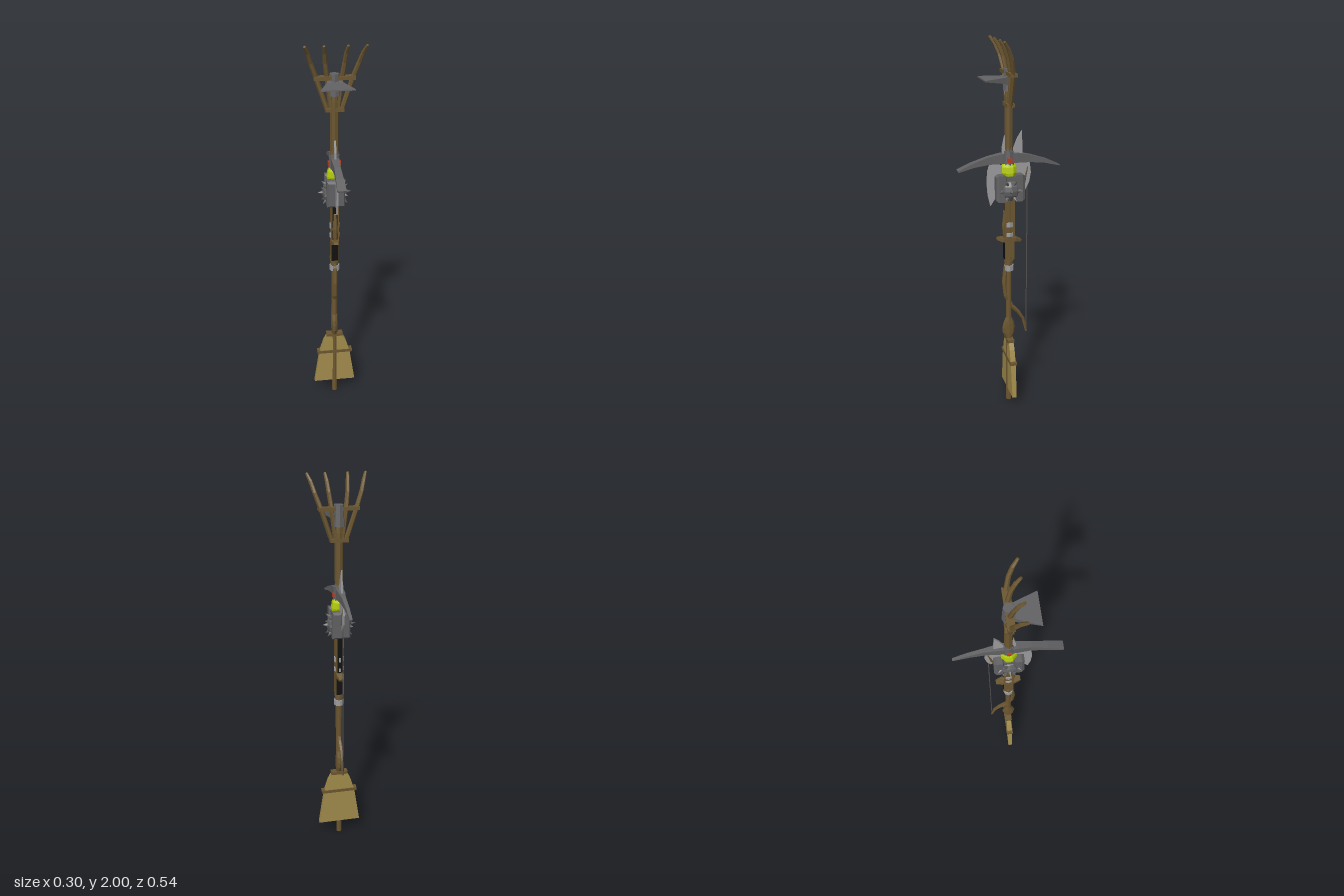
import * as THREE from 'three';

const mat = (name, color) => {
  const m = new THREE.MeshStandardMaterial({ color });
  m.name = name;
  return m;
};
const V = (x, y, z) => new THREE.Vector3(x, y, z);

export function createModel() {
  const root = new THREE.Group();
  root.name = 'toolStaff';
  const wood = mat('wood', 0x6b5630), straw = mat('straw', 0xa28c4c), iron = mat('iron', 0x626264);
  const steel = mat('steel', 0x9c9c9e), black = mat('black', 0x101010), lime = mat('lime', 0xb4cc08);
  const red = mat('red', 0xc03a20), cord = mat('cord', 0x55534e);

  const add = (name, geo, material, x = 0, y = 0, z = 0) => {
    const g = geo.index ? geo.toNonIndexed() : geo;
    g.computeVertexNormals(); // faceted look
    const m = new THREE.Mesh(g, material);
    m.name = name;
    m.position.set(x, y, z);
    root.add(m);
    return m;
  };
  const box = (name, w, h, d, material, x, y, z) =>
    add(name, new THREE.BoxGeometry(w, h, d), material, x, y, z);
  const rod = (name, rTop, rBottom, y0, y1, material, n = 8, z = 0) =>
    add(name, new THREE.CylinderGeometry(rTop, rBottom, y1 - y0, n), material, 0, (y0 + y1) / 2, z);

  // Joins cross-section rings and caps both ends, facing outward
  function loft(rings) {
    const n = rings[0].length, tris = [];
    for (let i = 0; i + 1 < rings.length; i++)
      for (let j = 0; j < n; j++) {
        const k = (j + 1) % n, a = rings[i], b = rings[i + 1];
        tris.push([a[j], a[k], b[k]], [a[j], b[k], b[j]]);
      }
    const last = rings[rings.length - 1];
    for (let j = 1; j + 1 < n; j++)
      tris.push([rings[0][0], rings[0][j + 1], rings[0][j]], [last[0], last[j], last[j + 1]]);
    let volume = 0;
    for (const [a, b, c] of tris) volume += a.dot(b.clone().cross(c));
    const pos = [];
    for (const t of tris)
      for (const p of volume < 0 ? [t[0], t[2], t[1]] : t) pos.push(p.x, p.y, p.z);
    const g = new THREE.BufferGeometry();
    g.setAttribute('position', new THREE.Float32BufferAttribute(pos, 3));
    return g;
  }

  // Sweeps an n-sided section along [x, y, z, sideRadius, otherRadius] stations
  function sweep(stations, n = 6, phase = 0) {
    const p = stations.map((s) => V(s[0], s[1], s[2]));
    return loft(p.map((c, i) => {
      const t = p[Math.min(i + 1, p.length - 1)].clone().sub(p[Math.max(i - 1, 0)]).normalize();
      const u = V(1, 0, 0).addScaledVector(t, -t.x).normalize();
      const v = t.clone().cross(u);
      const [, , , ru, rv = ru] = stations[i];
      return Array.from({ length: n }, (_, j) => {
        const a = phase + (j / n) * Math.PI * 2;
        return c.clone().addScaledVector(u, Math.cos(a) * ru).addScaledVector(v, Math.sin(a) * rv);
      });
    }));
  }
  const R2 = Math.SQRT2;
  const boxSweep = (st) => sweep(st.map(([x, y, z, a, b]) => [x, y, z, a * R2, b * R2]), 4, Math.PI / 4);

  // Thin plate drawn in (z, y) and centred on x = 0
  function plate(name, points, thickness, material) {
    const shape = new THREE.Shape(points.map(([z, y]) => new THREE.Vector2(z, y)));
    const g = new THREE.ExtrudeGeometry(shape, { depth: thickness, bevelEnabled: false });
    g.translate(0, 0, -thickness / 2).rotateY(-Math.PI / 2);
    return add(name, g, material);
  }

  // Shared shaft
  rod('lowerShaft', 0.016, 0.015, 0, 0.85, wood, 8, 0.003);
  rod('upperShaft', 0.021, 0.021, 0.8, 1.72, wood, 8, 0.003);
  rod('forkSocket', 0.015, 0.021, 1.7, 1.84, wood, 8, 0.003);

  // Broom head and its two bindings
  add('broomHead', boxSweep([
    [0, 0.075, 0, 0.115, 0.012], [0, 0.27, 0, 0.085, 0.014],
    [0, 0.345, 0, 0.062, 0.014], [0, 0.39, 0, 0.04, 0.013],
  ]), straw);
  box('broomBindingTop', 0.09, 0.016, 0.036, wood, 0, 0.387, 0);
  box('broomBindingLow', 0.196, 0.016, 0.036, wood, 0, 0.275, 0);

  // Oar-shaped swelling above the broom
  add('paddleBulb', sweep([
    [0, 0.39, 0.003, 0.016, 0.016], [0, 0.425, 0.003, 0.018, 0.033], [0, 0.455, 0.003, 0.018, 0.036],
    [0, 0.485, 0.003, 0.018, 0.03], [0, 0.52, 0.003, 0.016, 0.016],
  ], 8), wood);

  // Bow limbs mirrored about the grip, with string
  const limb = [
    [0.86, 0.008, 0.013], [0.8, 0.02, 0.014], [0.73, 0.027, 0.014], [0.65, 0.018, 0.014],
    [0.585, -0.012, 0.013], [0.545, -0.05, 0.011], [0.5, -0.078, 0.009], [0.42, -0.096, 0.006],
  ];
  add('bowLowerLimb', sweep(limb.map(([y, z, r]) => [0, y, z, r])), wood);
  add('bowUpperLimb', sweep(limb.map(([y, z, r]) => [0, 1.78 - y, z, r * 0.9])), wood);
  rod('bowString', 0.0028, 0.0028, 0.42, 1.36, cord, 5, -0.096);

  // Sword grip, guard, bands and dark scabbard
  box('swordGrip', 0.036, 0.1, 0.052, black, 0, 0.915, 0.002);
  box('swordScabbard', 0.03, 0.2, 0.05, black, 0, 1.09, 0.002);
  for (const s of [-1, 1]) {
    box('gripSide', 0.006, 0.1, 0.05, wood, s * 0.018, 0.915, 0.002);
    box('scabbardSide', 0.007, 0.2, 0.054, wood, s * 0.016, 1.09, 0.002);
  }
  add('swordGuard', boxSweep([
    [0, 0.963, -0.062, 0.012, 0.006], [0, 0.975, -0.03, 0.02, 0.011],
    [0, 0.975, 0.035, 0.02, 0.011], [0, 0.985, 0.066, 0.012, 0.006],
  ]), wood);
  for (const y of [0.855, 0.875]) rod('gripRing', 0.025, 0.025, y - 0.006, y + 0.006, wood, 8, 0.002);
  for (const [y, h] of [[0.815, 0.03], [1.005, 0.02], [1.06, 0.025]])
    rod('steelBand', 0.027, 0.027, y - h / 2, y + h / 2, steel, 8, 0.002);

  // Thin axe blades and sword tip
  plate('frontAxeBlade', [
    [0.02, 1.3], [0.05, 1.24], [0.1, 1.165], [0.113, 1.22], [0.119, 1.29],
    [0.114, 1.35], [0.1, 1.395], [0.055, 1.385], [0.02, 1.36],
  ], 0.008, steel);
  plate('rearAxeBlade', [
    [-0.02, 1.28], [-0.065, 1.27], [-0.085, 1.24], [-0.105, 1.28], [-0.114, 1.33],
    [-0.108, 1.38], [-0.07, 1.4], [-0.068, 1.47], [-0.065, 1.55], [-0.04, 1.51], [-0.02, 1.46],
  ], 0.008, steel);
  plate('swordTip', [[0, 1.4], [0.036, 1.4], [0.038, 1.47], [0.025, 1.53], [0, 1.5]], 0.01, steel);

  // Hammer head with chamfered ends
  add('hammerHead', boxSweep([
    [0, 1.262, -0.073, 0.038, 0.06], [0, 1.262, -0.06, 0.046, 0.07], [0, 1.262, -0.03, 0.046, 0.07],
    [0, 1.262, -0.025, 0.038, 0.062], [0, 1.262, 0.025, 0.038, 0.062], [0, 1.262, 0.03, 0.046, 0.07],
    [0, 1.262, 0.064, 0.046, 0.07], [0, 1.262, 0.077, 0.038, 0.06],
  ]), iron);

  // Spiked mace ball
  const centre = V(0, 1.25, 0.003);
  add('maceBall', new THREE.SphereGeometry(0.064, 12, 8), iron, centre.x, centre.y, centre.z);
  const spike = (d) => {
    const m = add('maceSpike', new THREE.ConeGeometry(0.011, 0.028, 6), iron);
    m.position.copy(centre).addScaledVector(d, 0.073);
    m.quaternion.setFromUnitVectors(V(0, 1, 0), d);
  };
  for (const e of [-0.65, 0, 0.65])
    for (let i = 0; i < 8; i++) {
      const a = (i / 8) * Math.PI * 2 + (e ? Math.PI / 8 : 0);
      spike(V(Math.cos(a) * Math.cos(e), Math.sin(e), Math.sin(a) * Math.cos(e)));
    }

  // Lime collar under the pickaxe, with iron socket and red gem
  add('limeCollar', sweep([
    [0, 1.325, 0.003, 0.041, 0.034], [0, 1.34, 0.003, 0.042, 0.042],
    [0, 1.37, 0.003, 0.036, 0.04], [0, 1.39, 0.003, 0.026, 0.026],
  ], 8, Math.PI / 8), lime);
  rod('pickSocket', 0.026, 0.03, 1.375, 1.45, iron, 8, 0.003);
  for (const s of [-1, 1]) box('redGem', 0.009, 0.022, 0.022, red, s * 0.028, 1.405, 0.003);

  // Curved pickaxe head: chisel to the front, point to the rear
  add('pickaxeHead', boxSweep([
    [0, 1.362, 0.267, 0.022, 0.004], [0, 1.388, 0.19, 0.019, 0.011], [0, 1.406, 0.11, 0.016, 0.019],
    [0, 1.413, 0.04, 0.02, 0.025], [0, 1.413, -0.04, 0.018, 0.025], [0, 1.404, -0.11, 0.011, 0.019],
    [0, 1.386, -0.19, 0.009, 0.011], [0, 1.358, -0.267, 0.007, 0.003],
  ]), iron);
  rod('pickWedge', 0.012, 0.025, 1.44, 1.52, iron, 6, 0.003);

  // Hoe collar and flaring blade
  rod('hoeCollar', 0.024, 0.03, 1.75, 1.855, iron, 8, 0.002);
  add('hoeBlade', boxSweep([
    [0, 1.8, 0, 0.03, 0.03], [0, 1.803, 0.03, 0.04, 0.015], [0, 1.81, 0.138, 0.082, 0.003],
  ]), iron);

  // Pitchfork crossbars and four curved tines
  box('forkLowerBar', 0.09, 0.018, 0.04, wood, 0, 1.682, 0.003);
  box('forkUpperBar', 0.2, 0.018, 0.036, wood, 0, 1.835, 0.003);
  for (const s of [-1, 1])
    for (const [x0, x1, x2, x3] of [[0.034, 0.088, 0.115, 0.145], [0.016, 0.036, 0.046, 0.056]])
      add('forkTine', sweep([
        [s * x0, 1.675, 0.003, 0.012], [s * x1, 1.835, 0.003, 0.012],
        [s * x2, 1.91, 0.018, 0.011], [s * (x2 + x3) / 2, 1.96, 0.038, 0.01], [s * x3, 1.996, 0.062, 0.007],
      ]), wood);

  return root;
}
